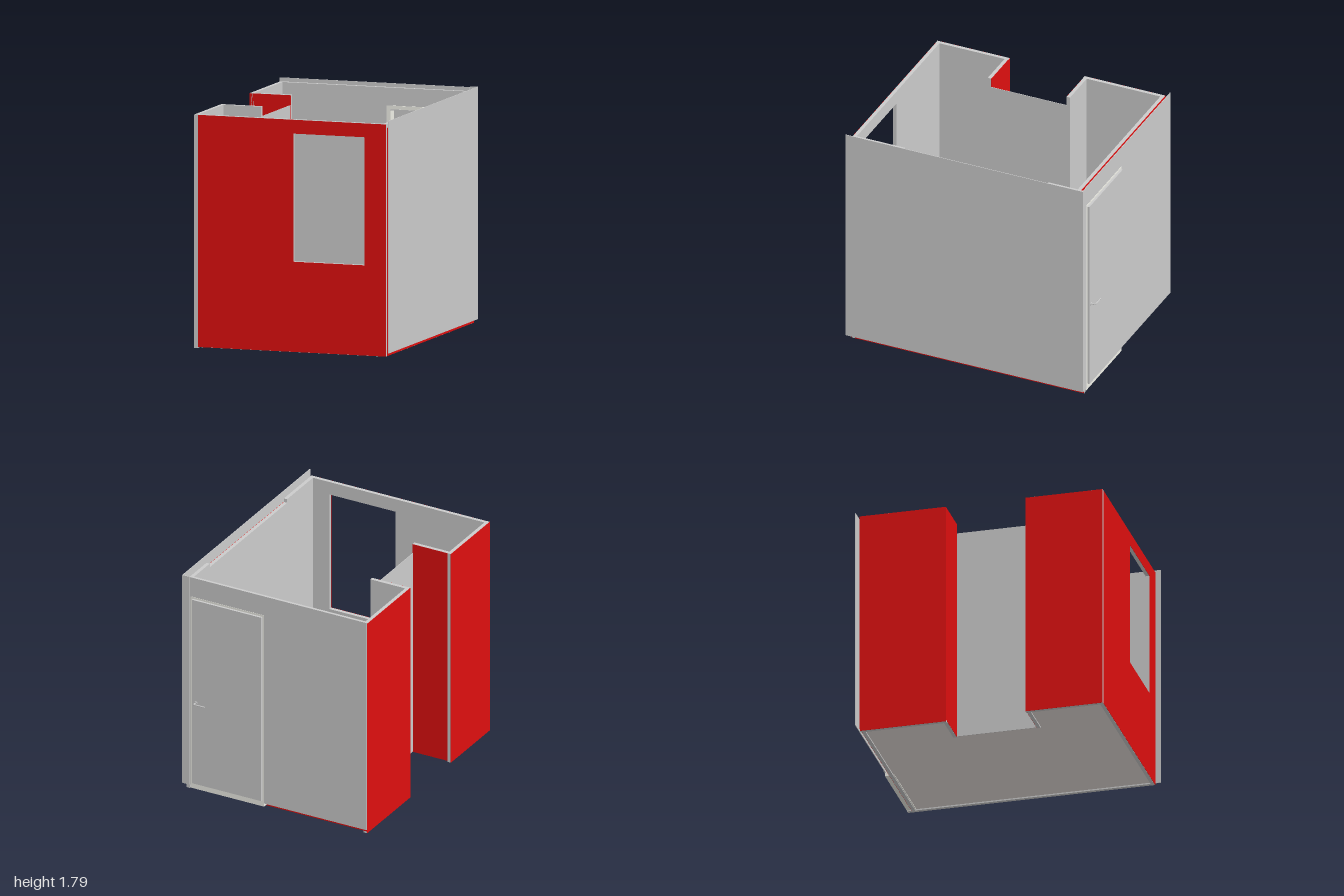
import * as THREE from 'three';

const mat = (color) => new THREE.MeshStandardMaterial({ color, side: THREE.DoubleSide });

export function createModel() {
  const model = new THREE.Group();
  const grey = mat(0xcccccc);
  const red = mat(0xdf0f0f);
  const cream = mat(0xf0f0e8);
  const beige = mat(0xe6deda);

  const add = (name, geometry, material) => {
    const mesh = new THREE.Mesh(geometry, material);
    mesh.name = name;
    model.add(mesh);
    return mesh;
  };

  // box given by its limits on each axis
  const box = (name, [x0, x1], [y0, y1], [z0, z1], material = grey) =>
    add(name, new THREE.BoxGeometry(x1 - x0, y1 - y0, z1 - z0), material)
      .position.set((x0 + x1) / 2, (y0 + y1) / 2, (z0 + z1) / 2);

  const rect = (Type, [x0, x1], [y0, y1]) => new Type([
    new THREE.Vector2(x0, y0), new THREE.Vector2(x1, y0),
    new THREE.Vector2(x1, y1), new THREE.Vector2(x0, y1),
  ]);

  // upright slab facing z with one rectangular opening
  const slab = (name, xs, ys, [z0, z1], hole, material = grey) => {
    const shape = rect(THREE.Shape, xs, ys);
    shape.holes.push(rect(THREE.Path, hole[0], hole[1]));
    const geometry = new THREE.ExtrudeGeometry(shape, { depth: z1 - z0, bevelEnabled: false });
    geometry.translate(0, 0, z0);
    add(name, geometry, material);
  };

  const wallY = [0.015, 1.765];
  const skinY = [0.016, 1.764];
  const windowHole = [[0.015, 0.58], [0.695, 1.66]];
  const doorHole = [[0.085, 0.715], [0.05, 1.63]];

  // floor with the recess on its right side
  const plan = new THREE.Shape([
    [-0.745, -0.88], [0.72, -0.88], [0.72, 0.935], [-0.745, 0.935],
    [-0.745, 0.4], [-0.45, 0.4], [-0.45, -0.275], [-0.745, -0.275],
  ].map(([x, z]) => new THREE.Vector2(x, -z)));
  const floor = new THREE.ExtrudeGeometry(plan, { depth: 0.02, bevelEnabled: false });
  floor.rotateX(-Math.PI / 2);
  floor.translate(0, 0.025, 0);
  add('floor', floor, beige);

  // front wall with window, back wall with doorway
  slab('frontWall', [-0.745, 0.72], wallY, [0.935, 0.963], windowHole);
  slab('frontCladding', [-0.742, 0.75], skinY, [0.963, 0.965], windowHole, red);
  slab('backWall', [-0.745, 0.72], wallY, [-0.908, -0.88], doorHole);
  slab('backCladding', [-0.775, 0.72], skinY, [-0.91, -0.908], doorHole, red);

  // side wall on the left, its top lowered along the middle
  box('leftWall', [0.72, 0.748], [0.015, 1.735], [-0.945, 0.963]);
  box('leftWallTopBack', [0.72, 0.748], [1.735, 1.765], [-0.945, -0.64]);
  box('leftWallTopFront', [0.72, 0.748], [1.735, 1.765], [0.54, 0.963]);
  box('leftCladding', [0.748, 0.75], [0.016, 1.735], [-0.945, 0.935], red);

  // two right wall sections, each with a return into the recess
  const sections = [
    { z: [-0.908, -0.245], ret: [-0.275, -0.247], skin: [-0.247, -0.245], y0: 0 },
    { z: [0.37, 0.965], ret: [0.372, 0.4], skin: [0.37, 0.372], y0: 0.008 },
  ];
  for (const { z, ret, skin, y0 } of sections) {
    box('rightWall', [-0.773, -0.745], [y0, 1.765], z);
    box('rightCladding', [-0.775, -0.773], [y0, 1.764], z, red);
    box('recessReturn', [-0.745, -0.447], wallY, ret);
    box('recessCladding', [-0.774, -0.448], skinY, skin, red);
  }
  box('recessPanel', [-0.452, -0.448], [0.02, 1.69], [-0.247, 0.372]);

  // thin outer panels standing off the walls
  box('leftOuterPanel', [0.778, 0.783], [0.045, 1.795], [-0.945, 1]);
  box('leftPanelFlange', [0.72, 0.783], [0.045, 1.795], [-0.95, -0.945]);
  slab('backOuterPanel', [-0.79, 0.72], [0.045, 1.79], [-0.943, -0.938], doorHole);

  // door frame, sill and leaf
  slab('doorFrame', [0.085, 0.715], [0.02, 1.63], [-0.945, -0.872],
    [[0.115, 0.685], [0.06, 1.6]], cream);
  box('doorFrameTrim', [0.115, 0.685], [1.595, 1.603], [-0.88, -0.867]);
  box('doorLeaf', [0.1, 0.692], [0.07, 1.615], [-0.962, -0.945]);

  // lever handles on both faces of the door
  const handle = (side, face, reach) => {
    const group = new THREE.Group();
    group.name = side + 'DoorHandle';
    const rose = new THREE.Mesh(new THREE.CylinderGeometry(0.014, 0.014, 0.006, 20), grey);
    rose.name = 'rose';
    rose.rotation.x = Math.PI / 2;
    rose.position.z = Math.sign(reach) * 0.003;
    const path = new THREE.CurvePath();
    const corner = new THREE.Vector3(0, 0, reach);
    path.add(new THREE.LineCurve3(new THREE.Vector3(), corner));
    path.add(new THREE.LineCurve3(corner, new THREE.Vector3(-0.095, 0, reach)));
    const lever = new THREE.Mesh(new THREE.TubeGeometry(path, 24, 0.005, 8), grey);
    lever.name = 'lever';
    group.add(rose, lever);
    group.position.set(0.66, 0.755, face);
    model.add(group);
  };
  handle('outer', -0.962, -0.033);
  handle('inner', -0.945, 0.033);

  return model;
}
